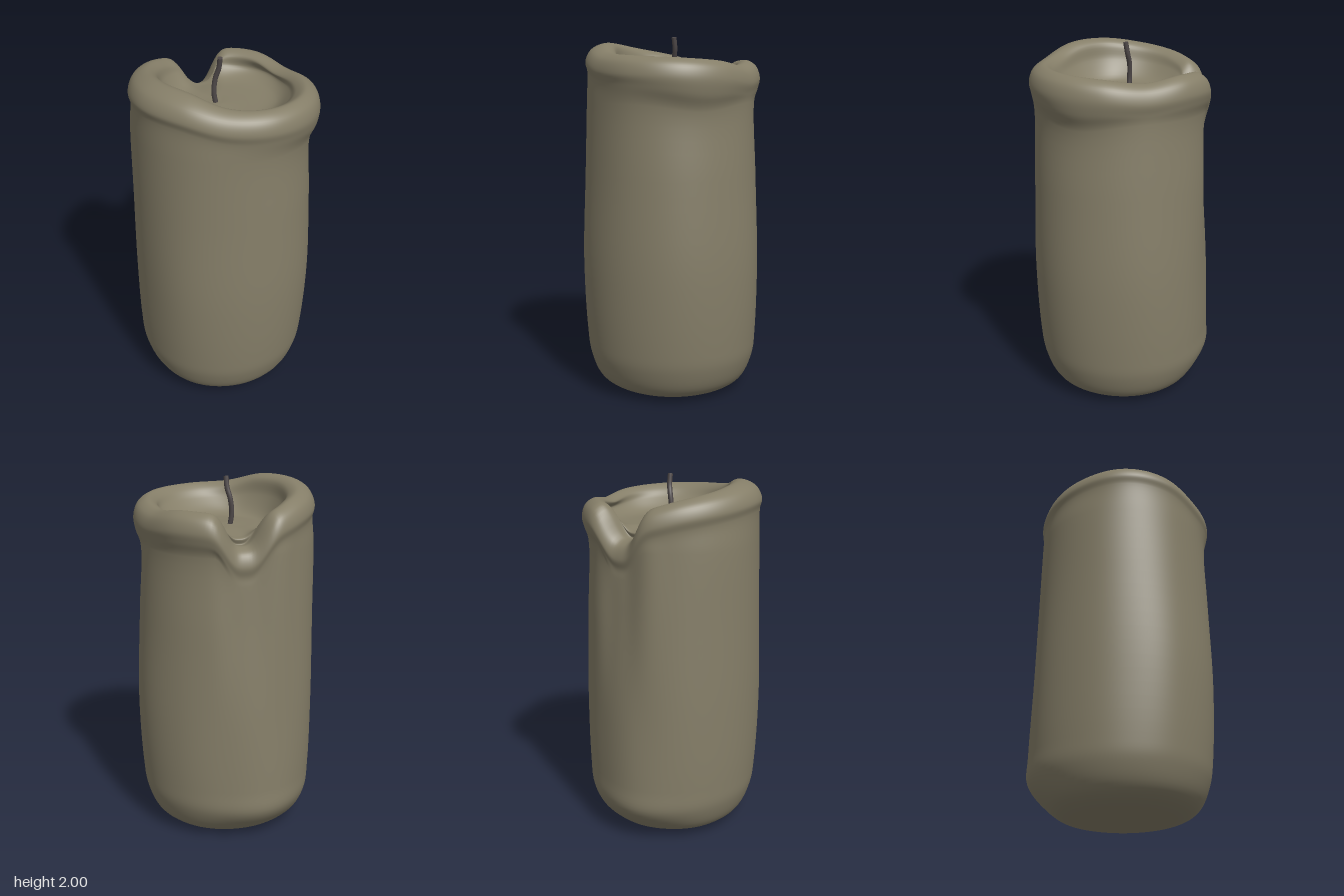
import * as THREE from 'three';

// Ring tables: one value per 30 degrees, starting at +x and turning towards +z
const RIM_R = [0.472, 0.505, 0.53, 0.52, 0.49, 0.49, 0.5, 0.49, 0.488, 0.495, 0.5, 0.492];
const RIM_H = [1.85, 1.875, 1.89, 1.9, 1.915, 1.965, 1.97, 1.945, 1.91, 1.86, 1.87, 1.875];
const NECK = [0.455, 0.468, 0.485, 0.492, 0.48, 0.485, 0.49, 0.49, 0.482, 0.47, 0.465, 0.46];
const BODY = [0.5, 0.503, 0.512, 0.51, 0.51, 0.515, 0.5, 0.5, 0.51, 0.5, 0.475, 0.483];
const FOOT = [0.48, 0.478, 0.48, 0.48, 0.485, 0.49, 0.485, 0.49, 0.51, 0.525, 0.49, 0.478];
const POOL = [0.36, 0.35, 0.32, 0.3, 0.3, 0.29, 0.29, 0.29, 0.31, 0.33, 0.34, 0.36];

// Smooth periodic lookup in a ring table
function ring(table, deg) {
  const f = deg / 30, i = Math.floor(f), t = f - i;
  const [a, b, c, d] = [-1, 0, 1, 2].map((k) => table[(i + k + 12) % 12]);
  return b + 0.5 * t * (c - a + t * (2 * a - 5 * b + 4 * c - d + t * (3 * (b - c) + d - a)));
}

// Soft bump around an angle; a higher power gives a flatter top
function bump(deg, centre, width, power = 2) {
  const d = Math.abs(((deg - centre + 540) % 360) - 180);
  return Math.exp(-((d / width) ** power));
}

const mix = THREE.MathUtils.lerp;

// Half section of the wax at one angle, from the underside over the rim to the pool
function section(deg) {
  const notch = bump(deg, 284, 15, 3);
  const flap = bump(deg, 260, 9);
  const sag = bump(deg, 45, 25);
  const steep = bump(deg, 335, 35);
  const neck = ring(NECK, deg) - 0.025 * notch + 0.012 * flap;
  const body = ring(BODY, deg);
  const foot = ring(FOOT, deg);
  const pool = ring(POOL, deg);
  const base = foot - 0.065 - 0.045 * bump(deg, 270, 35);
  const rim = mix(ring(RIM_R, deg), 0.45, notch);
  const top = mix(ring(RIM_H, deg), 1.69, notch);
  const crest = rim - 0.08 - 0.045 * bump(deg, 170, 45);
  const neckY = Math.min(1.65, top - 0.2) - 0.04 * sag;
  const points = [
    [0, 0], [0.2, 0.004], [0.335, 0.015],
    [base, 0.065], [foot - 0.01, 0.19], [mix(foot, body, 0.35), 0.33],
    [body, 0.75], [mix(body, neck, 0.55) - 0.01 * notch, 1.25], [neck, neckY],
    [rim - 0.01, top - 0.15 - 0.03 * sag], [rim, top - 0.095], [mix(rim, crest, 0.3), top - 0.03],
    [crest, top], [crest - 0.05, top - 0.025 * (1 - notch)],
    [mix((crest + pool) / 2 - 0.03, pool + 0.01, steep), mix((top + 1.745) / 2, 1.79, steep * (1 - notch))],
    [pool - 0.06, mix(1.75, 1.725, notch)], [0.14, 1.74], [0, 1.745],
  ];
  return new THREE.CatmullRomCurve3(points.map(([r, y]) => new THREE.Vector3(r, y, 0)));
}

function waxGeometry(around = 180, along = 102) {
  const positions = [], index = [];
  for (let i = 0; i < around; i++) {
    const deg = (i / around) * 360, a = THREE.MathUtils.degToRad(deg);
    for (const p of section(deg).getPoints(along)) {
      const r = Math.max(p.x, 0);
      positions.push(r * Math.cos(a), Math.max(p.y, 0), r * Math.sin(a));
    }
  }
  const row = along + 1;
  for (let i = 0; i < around; i++) {
    for (let j = 0; j < along; j++) {
      const v = i * row + j, w = ((i + 1) % around) * row + j;
      index.push(v, v + 1, w, w, v + 1, w + 1);
    }
  }
  const geometry = new THREE.BufferGeometry();
  geometry.setAttribute('position', new THREE.Float32BufferAttribute(positions, 3));
  geometry.setIndex(index);
  geometry.computeVertexNormals();
  return geometry;
}

export function createModel() {
  const model = new THREE.Group();
  model.name = 'candle';

  // Melted wax body with rolled rim, spill notch and pool
  const wax = new THREE.Mesh(waxGeometry(), new THREE.MeshStandardMaterial({ color: 0x857e68 }));
  wax.name = 'waxBody';
  model.add(wax);

  // Bent wick
  const wick = new THREE.Group();
  wick.name = 'wick';
  const wickMaterial = new THREE.MeshStandardMaterial({ color: 0x4d4747 });
  const path = new THREE.CatmullRomCurve3([
    [-0.01, 1.72, -0.035], [-0.02, 1.8, -0.042], [-0.012, 1.88, -0.04],
    [0, 1.94, -0.025], [0, 2, -0.014],
  ].map((p) => new THREE.Vector3(...p)));
  const strand = new THREE.Mesh(new THREE.TubeGeometry(path, 24, 0.014, 10), wickMaterial);
  strand.name = 'wickStrand';
  const tip = new THREE.Mesh(new THREE.CircleGeometry(0.014, 10), wickMaterial);
  tip.name = 'wickTip';
  tip.position.copy(path.getPoint(1));
  tip.lookAt(tip.position.clone().add(path.getTangent(1)));
  wick.add(strand, tip);
  model.add(wick);

  return model;
}
